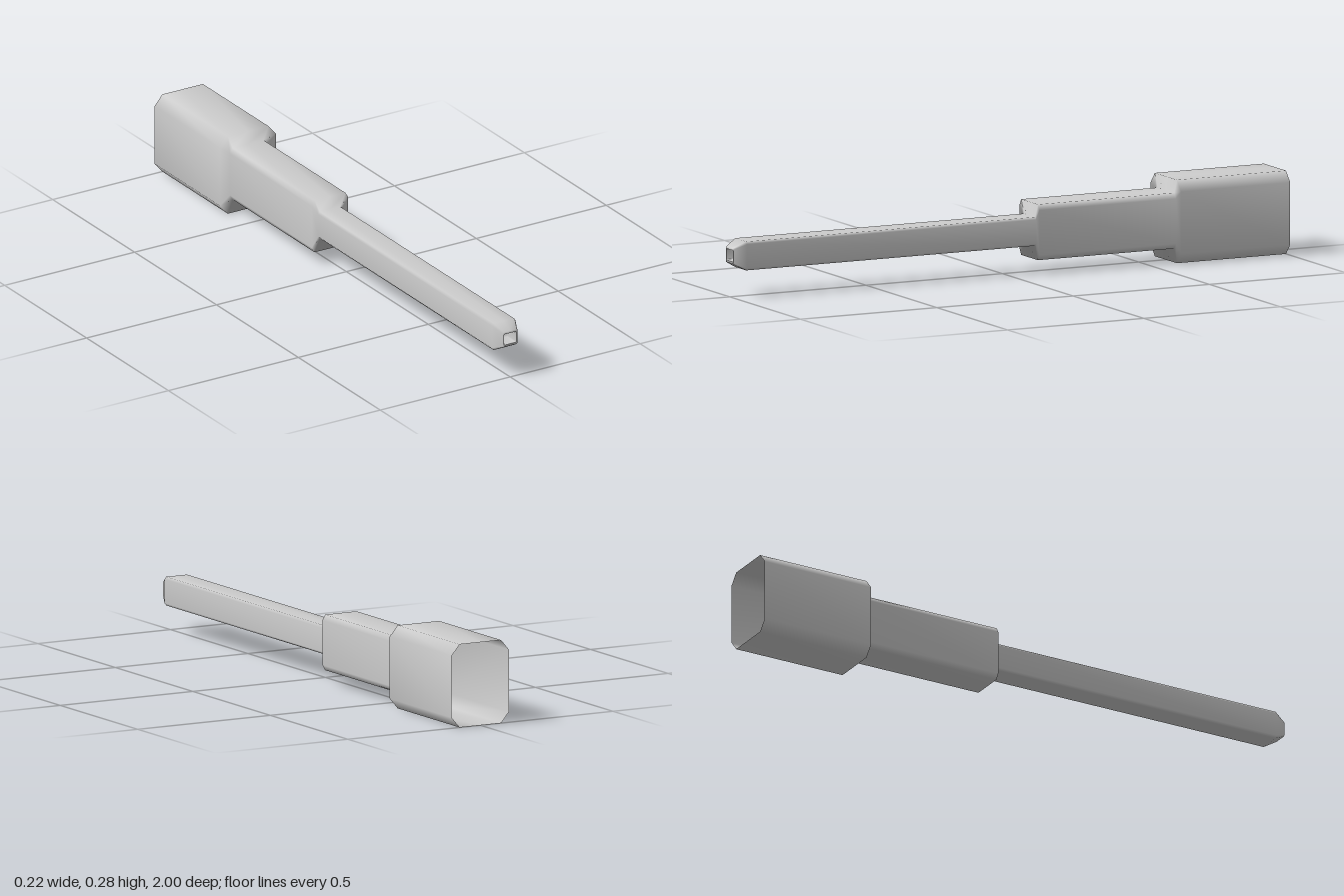
import * as THREE from 'three';

const CY = 0.1375; // height of the long axis

// Chamfered rectangle around the axis, counter-clockwise seen from the front
function ring([z, hw, hh, cx, cy]) {
  const right = [[0, -hh], [hw - cx, -hh], [hw, -hh + cy], [hw, hh - cy], [hw - cx, hh]];
  const left = right.map(([x, y]) => [-x, -y]);
  return [...right, ...left].map(([x, y]) => [x, y + CY, z]);
}

// Smooth skin through a list of sections, optionally closed at the last one
function loft(name, sections, material, capEnd = false) {
  const n = 10, pos = [], index = [];
  sections.forEach(s => ring(s).forEach(p => pos.push(...p)));
  for (let i = 0; i < sections.length - 1; i++) {
    for (let j = 0; j < n; j++) {
      const k = (j + 1) % n, a = i * n + j, b = i * n + k;
      index.push(a, b, b + n, a, b + n, a + n);
    }
  }
  if (capEnd) {
    const last = (sections.length - 1) * n, centre = pos.length / 3;
    pos.push(0, CY, sections[sections.length - 1][0]);
    for (let j = 0; j < n; j++) index.push(last + j, last + (j + 1) % n, centre);
  }
  const g = new THREE.BufferGeometry();
  g.setAttribute('position', new THREE.Float32BufferAttribute(pos, 3));
  g.setIndex(index);
  g.computeVertexNormals();
  const mesh = new THREE.Mesh(g, material);
  mesh.name = name;
  return mesh;
}

export function createModel() {
  const group = new THREE.Group();
  group.name = 'steppedBarrel';
  const mat = new THREE.MeshStandardMaterial({ color: 0xcccccc, side: THREE.DoubleSide });

  // Section sizes: half width, half height, chamfer x, chamfer y
  const socket = [0.108, 0.1375, 0.03, 0.035];
  const sleeve = [0.07, 0.092, 0.011, 0.018];
  const tube = [0.045, 0.0475, 0.006, 0.008];
  const lip = [0.024, 0.019, 0.003, 0.003];

  // Hollow three-step body, open at the rear, with a tapered muzzle
  group.add(loft('barrelBody', [
    [-1, ...socket], [-0.6, ...socket],
    [-0.6, ...sleeve], [-0.1, ...sleeve],
    [-0.1, ...tube], [0.96, ...tube],
    [1, 0.028, 0.026, 0.004, 0.004], [1, ...lip],
  ], mat));

  // Shallow bore recessed into the muzzle
  group.add(loft('muzzleBore', [
    [1, ...lip], [0.95, 0.022, 0.017, 0.003, 0.003],
  ], mat, true));

  return group;
}
